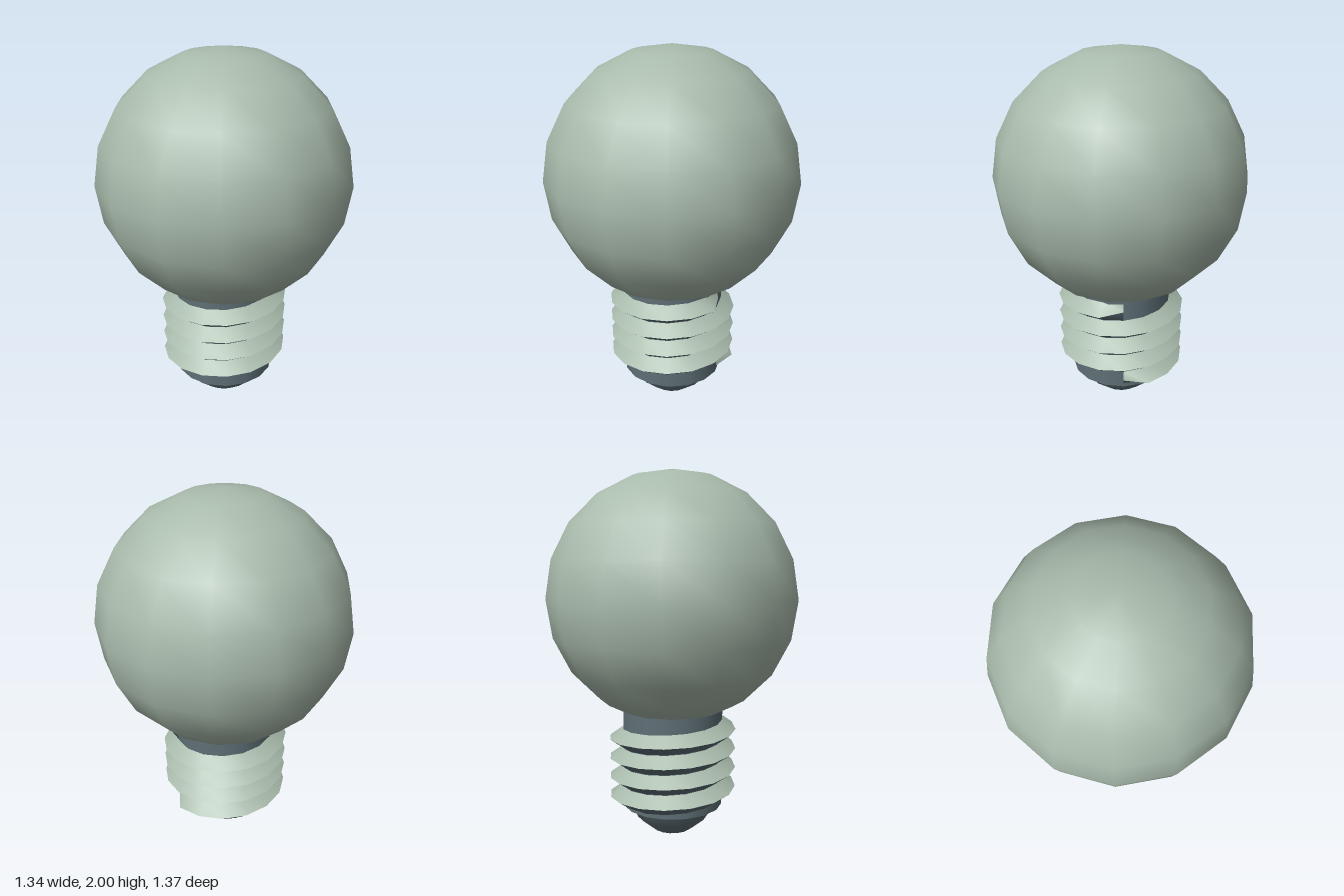
import * as THREE from 'three';
import { toCreasedNormals } from 'three/addons/utils/BufferGeometryUtils.js';

const SIDES = 16;
const TURNS = 4;
const PITCH = 0.11;

// Smooth strip that winds around the socket between two edges of the thread.
// edge(i) returns { r, y } for step i.
function helixStrip(edgeLow, edgeHigh) {
  const steps = SIDES * TURNS;
  const pos = [];
  const index = [];
  for (let i = 0; i <= steps; i++) {
    const t = Math.PI + (i / SIDES) * Math.PI * 2;
    for (const edge of [edgeLow, edgeHigh]) {
      const { r, y } = edge(i);
      pos.push(-Math.cos(t) * r, y, Math.sin(t) * r);
    }
    if (i < steps) {
      const a = i * 2;
      index.push(a, a + 2, a + 1, a + 1, a + 2, a + 3);
    }
  }
  const geo = new THREE.BufferGeometry();
  geo.setAttribute('position', new THREE.Float32BufferAttribute(pos, 3));
  geo.setIndex(index);
  geo.computeVertexNormals();
  return geo;
}

export function createModel() {
  const glass = new THREE.MeshStandardMaterial({ color: 0xa9bbac });
  glass.name = 'pale green glass';
  const metal = new THREE.MeshStandardMaterial({ color: 0x5f7077 });
  metal.name = 'slate metal';

  const model = new THREE.Group();
  model.name = 'lightBulb';
  const add = (name, geo, mat, y = 0) => {
    const mesh = new THREE.Mesh(geo, mat);
    mesh.name = name;
    mesh.position.y = y;
    model.add(mesh);
    return mesh;
  };

  // Round glass globe
  const globe = add('globe', new THREE.SphereGeometry(0.685, 14, 10), glass, 1.315);
  globe.rotation.y = Math.PI / 2;

  // Socket sleeve
  add('socket', new THREE.CylinderGeometry(0.28, 0.28, 0.55, SIDES), metal, 0.425);

  // Rounded contact tip with a flat end
  const tip = [[0, 0], [0.11, 0], [0.2, 0.075], [0.235, 0.15]].map(([x, y]) => new THREE.Vector2(x, y));
  add('contactTip', toCreasedNormals(new THREE.LatheGeometry(tip, SIDES), 0.62), metal);

  // Screw thread: pale upper flank, metal lower flank, tapered at both ends
  const midY = (i) => 0.195 + (i / SIDES) * PITCH;
  const crest = (i) => ({ r: i === 0 || i === SIDES * TURNS ? 0.288 : 0.355, y: midY(i) });
  const upperRoot = (i) => ({ r: 0.278, y: midY(i) + PITCH / 2 });
  const lowerRoot = (i) => ({ r: 0.278, y: Math.max(0.165, midY(i) - PITCH / 2) });
  add('threadUpperFlank', helixStrip(crest, upperRoot), glass);
  add('threadLowerFlank', helixStrip(lowerRoot, crest), metal);

  return model;
}
